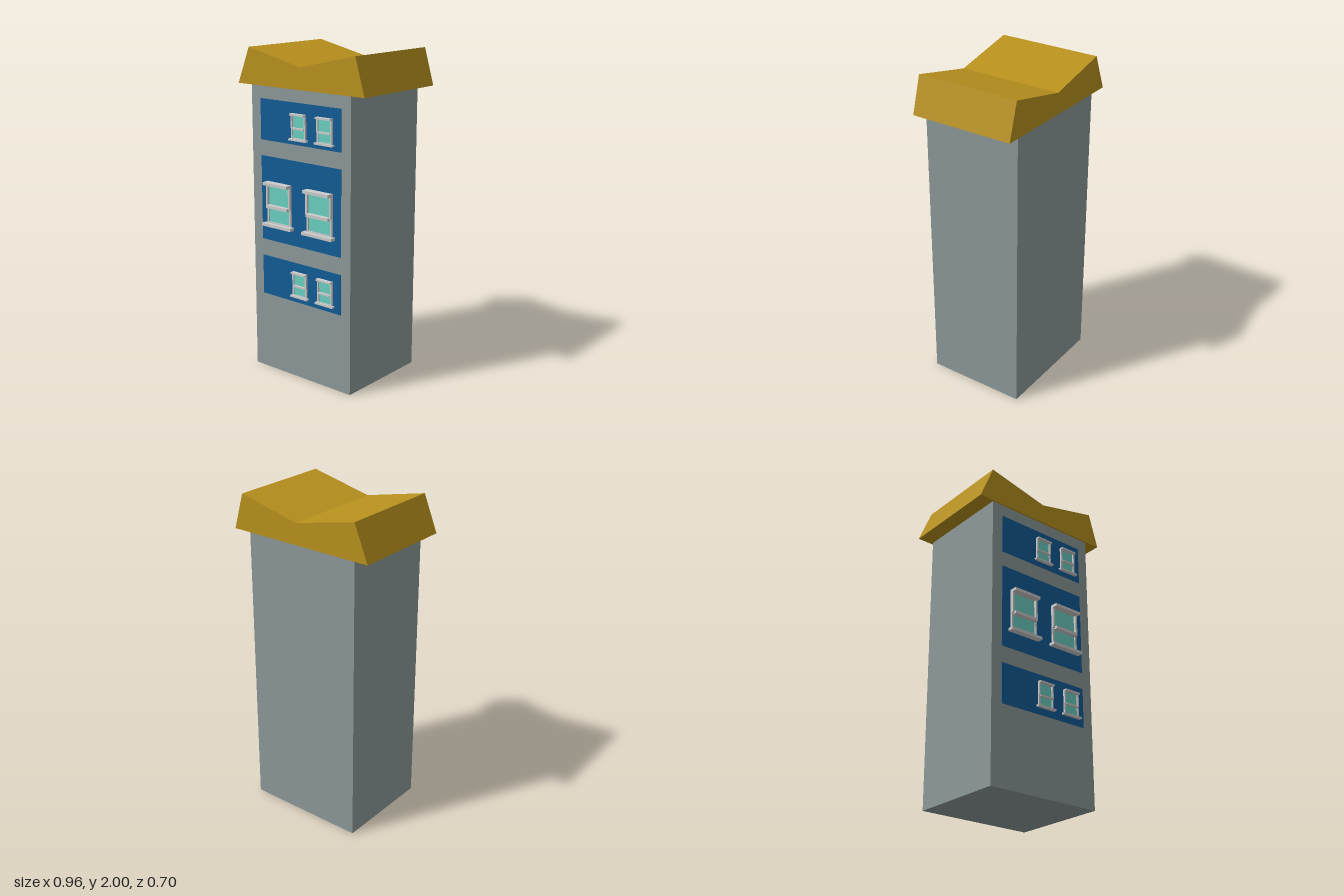
import * as THREE from 'three';

const material = (color) => new THREE.MeshStandardMaterial({ color, flatShading: true });

// Box given by its min and max corners
function box(name, mat, [x0, y0, z0], [x1, y1, z1]) {
  const mesh = new THREE.Mesh(new THREE.BoxGeometry(x1 - x0, y1 - y0, z1 - z0), mat);
  mesh.position.set((x0 + x1) / 2, (y0 + y1) / 2, (z0 + z1) / 2);
  mesh.name = name;
  return mesh;
}

// Sash window: glass, jambs, sash rails, projecting lintel and sill
function sashWindow(name, x0, x1, y0, y1, large, mats) {
  const group = new THREE.Group();
  group.name = name;
  const back = 0.303;
  const t = large ? 0.018 : 0.011; // lintel and sill height
  const j = large ? 0.013 : 0.01; // jamb width
  const over = large ? 0.018 : 0.012; // sill overhang
  const mid = y0 + (y1 - y0) * 0.45;
  const lintelZ = large ? 0.35 : 0.329;
  const sillZ = large ? 0.341 : 0.324;
  const bar = (part, a, b) => group.add(box(part, mats.trim, a, b));

  group.add(box('glass', mats.glass, [x0 + j / 2, y0 + t / 2, back], [x1 - j / 2, y1 - t / 2, 0.306]));
  for (const x of [x0, x1 - j]) {
    bar('lowerJamb', [x, y0 + t, back], [x + j, mid, 0.313]);
    bar('upperJamb', [x, mid, back], [x + j, y1 - t, large ? 0.322 : 0.316]);
  }
  bar('meetingRail', [x0 + j, mid - t / 2, back], [x1 - j, mid + t / 2, large ? 0.336 : 0.32]);
  bar('bottomRail', [x0 + j, y0 + t, back], [x1 - j, y0 + t * 1.4, 0.313]);
  bar('lintel', [x0, y1 - t, back], [x1, y1, lintelZ]);
  bar('sill', [x0 - over, y0, back], [x1 + over, y0 + t, sillZ]);
  return group;
}

export function createModel() {
  const model = new THREE.Group();
  model.name = 'townhouse';
  const mats = {
    wall: material(0x8c9898),
    panel: material(0x115c96),
    roof: material(0xb8911d),
    glass: material(0x6acfc0),
    trim: material(0xcccccc),
  };

  // Tower body
  model.add(box('walls', mats.wall, [-0.38, 0, -0.333], [0.38, 1.78, 0.292]));

  // Butterfly roof, a profile extruded front to back
  const profile = [[-0.48, 1.78], [0.48, 1.78], [0.415, 2], [0.015, 1.91], [-0.39, 2]];
  const shape = new THREE.Shape(profile.map(([x, y]) => new THREE.Vector2(x, y)));
  const roofGeometry = new THREE.ExtrudeGeometry(shape, { depth: 0.652, bevelEnabled: false });
  const roof = new THREE.Mesh(roofGeometry, mats.roof);
  roof.position.z = -0.35;
  roof.name = 'roof';
  model.add(roof);

  // Painted panel on each storey, with its pair of windows
  const smallBays = [[-0.05, 0.06], [0.146, 0.258]];
  const largeBays = [[-0.251, -0.06], [0.064, 0.258]];
  const storeys = [
    { name: 'lower', panel: [0.487, 0.735], win: [0.525, 0.685], bays: smallBays },
    { name: 'middle', panel: [0.84, 1.36], win: [0.938, 1.212], bays: largeBays, large: true },
    { name: 'upper', panel: [1.457, 1.704], win: [1.485, 1.644], bays: smallBays },
  ];
  for (const { name, panel, win, bays, large = false } of storeys) {
    model.add(box(name + 'Panel', mats.panel, [-0.308, panel[0], 0.285], [0.311, panel[1], 0.295]));
    bays.forEach(([x0, x1], i) => {
      const side = i ? 'Left' : 'Right';
      model.add(sashWindow(name + side + 'Window', x0, x1, win[0], win[1], large, mats));
    });
  }
  return model;
}
